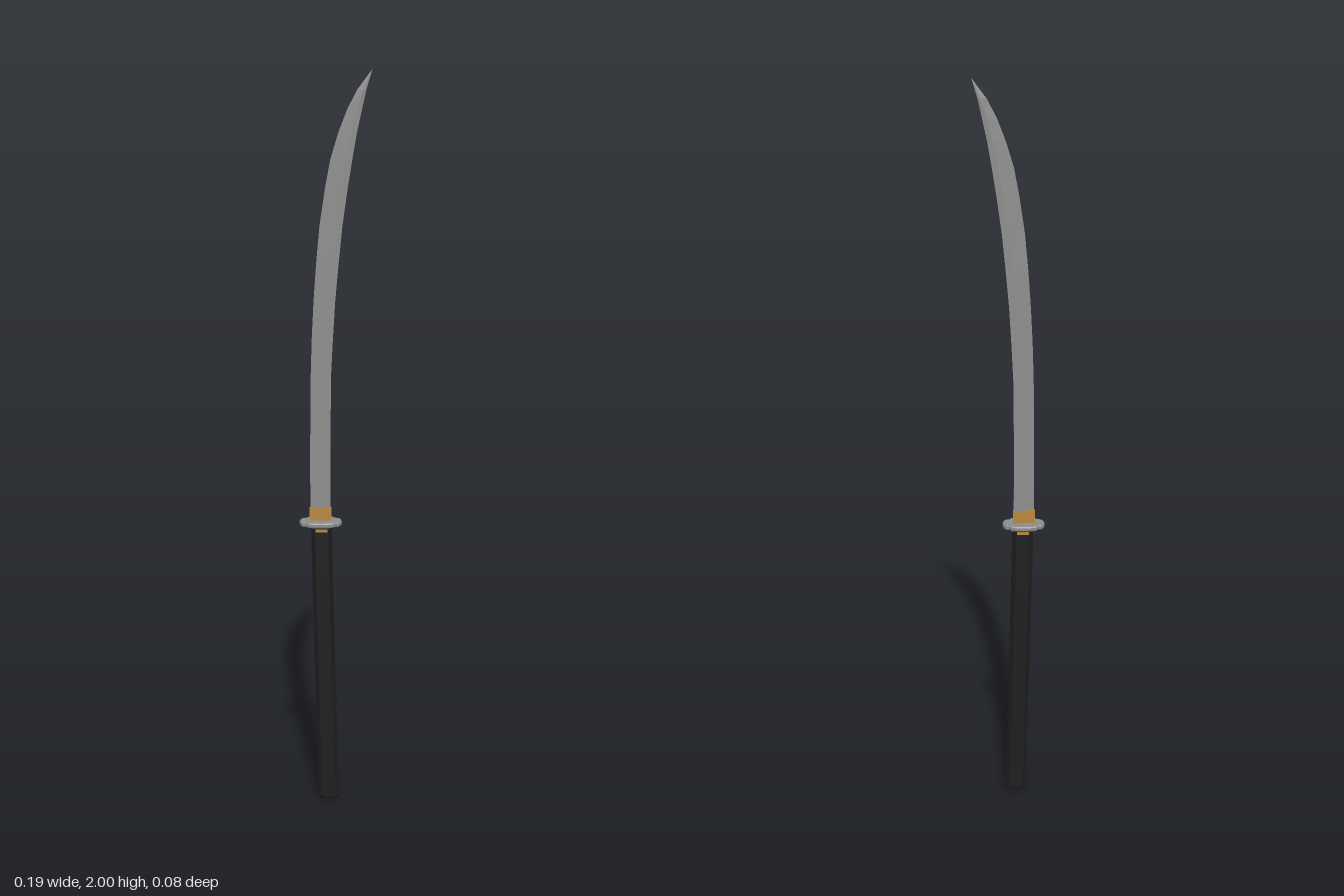
import * as THREE from 'three';

const paint = (name, color) => {
  const m = new THREE.MeshStandardMaterial({ color, flatShading: true });
  m.name = name;
  return m;
};

// Skin a stack of rings of [x, y, z] points (ordered +x to +z) and cap both ends.
function loft(rings) {
  const pos = [];
  const tri = (...pts) => pts.forEach((p) => pos.push(...p));
  const n = rings[0].length;
  for (let i = 0; i < rings.length - 1; i++) {
    for (let j = 0; j < n; j++) {
      const k = (j + 1) % n;
      const a = rings[i][j], b = rings[i][k], c = rings[i + 1][j], d = rings[i + 1][k];
      tri(a, c, b);
      tri(b, c, d);
    }
  }
  const cap = (ring, up) => {
    const mid = [0, 1, 2].map((q) => ring.reduce((s, p) => s + p[q], 0) / n);
    for (let j = 0; j < n; j++) {
      const a = ring[j], b = ring[(j + 1) % n];
      if (up) tri(mid, b, a); else tri(mid, a, b);
    }
  };
  cap(rings[0], false);
  cap(rings[rings.length - 1], true);
  const g = new THREE.BufferGeometry();
  g.setAttribute('position', new THREE.Float32BufferAttribute(pos, 3));
  g.computeVertexNormals();
  return g;
}

export function createModel() {
  const steel = paint('steel', 0x8f8f8f);
  const brass = paint('brass', 0xb88a3e);
  const black = paint('blackGrip', 0x1d1e1d);
  const sword = new THREE.Group();
  sword.name = 'curvedSword';
  const add = (name, geometry, material) => {
    const m = new THREE.Mesh(geometry, material);
    m.name = name;
    sword.add(m);
    return m;
  };

  // Blade: cutting edge on -x, flat spine on +x; [y, edge x, spine x]
  const stations = [
    [0.795, -0.067, -0.012], [1.0, -0.067, -0.013], [1.2, -0.065, -0.011],
    [1.3, -0.062, -0.006], [1.4, -0.057, 0.0], [1.5, -0.05, 0.009],
    [1.6, -0.041, 0.019], [1.7, -0.026, 0.033], [1.77, -0.013, 0.044],
    [1.84, 0.008, 0.056], [1.9, 0.031, 0.069], [1.95, 0.057, 0.08], [2.0, 0.094, 0.095],
  ];
  add('blade', loft(stations.map(([y, e, s], i) => {
    const t = i === stations.length - 1 ? 0.1 : 1;
    const ridge = e + (s - e) * 0.7;
    return [
      [s, y, 0.0035 * t], [ridge, y, 0.005 * t], [e, y, 0],
      [ridge, y, -0.005 * t], [s, y, -0.0035 * t],
    ];
  })), steel);

  // Brass collar at the foot of the blade
  const collar = add('bladeCollar', new THREE.BoxGeometry(0.059, 0.038, 0.013), brass);
  collar.position.set(-0.04, 0.817, 0);

  // Four-lobed guard: one quarter outline, mirrored around the centre
  const quarter = [
    [0.057, 0], [0.0555, 0.011], [0.05, 0.022], [0.042, 0.0235],
    [0.036, 0.027], [0.035, 0.033], [0.02, 0.0365], [0, 0.0375],
  ];
  const half = [...quarter, ...quarter.slice(1, -1).reverse().map(([x, z]) => [-x, z])];
  const outline = [...half, ...half.map(([x, z]) => [-x, -z])];
  add('guard', loft([[0.788, 0.96], [0.791, 1], [0.798, 1], [0.801, 0.96]].map(
    ([y, k]) => outline.map(([x, z]) => [-0.039 + x * k, y, z * k]))), steel);

  // Grip: slightly curved, faceted oval
  const section = [[1, 0.45], [0.62, 1], [-0.62, 1], [-1, 0.45],
    [-1, -0.45], [-0.62, -1], [0.62, -1], [1, -0.45]];
  const gripX = (y) => -0.037 + 0.02 * Math.pow(1 - y / 0.79, 1.15);
  const gripRing = (y, k = 1) => section.map(([x, z]) =>
    [gripX(y) + x * 0.028 * k, y, z * 0.017 * k]);
  add('grip', loft([gripRing(0, 0.88), gripRing(0.008), gripRing(0.2), gripRing(0.4),
    gripRing(0.6), gripRing(0.789)]), black);

  // Small brass inlays just under the guard, front and back
  for (const side of [1, -1]) {
    const inlay = add('gripInlay', new THREE.BoxGeometry(0.032, 0.008, 0.002), brass);
    inlay.position.set(gripX(0.776), 0.776, side * 0.0172);
  }
  return sword;
}
